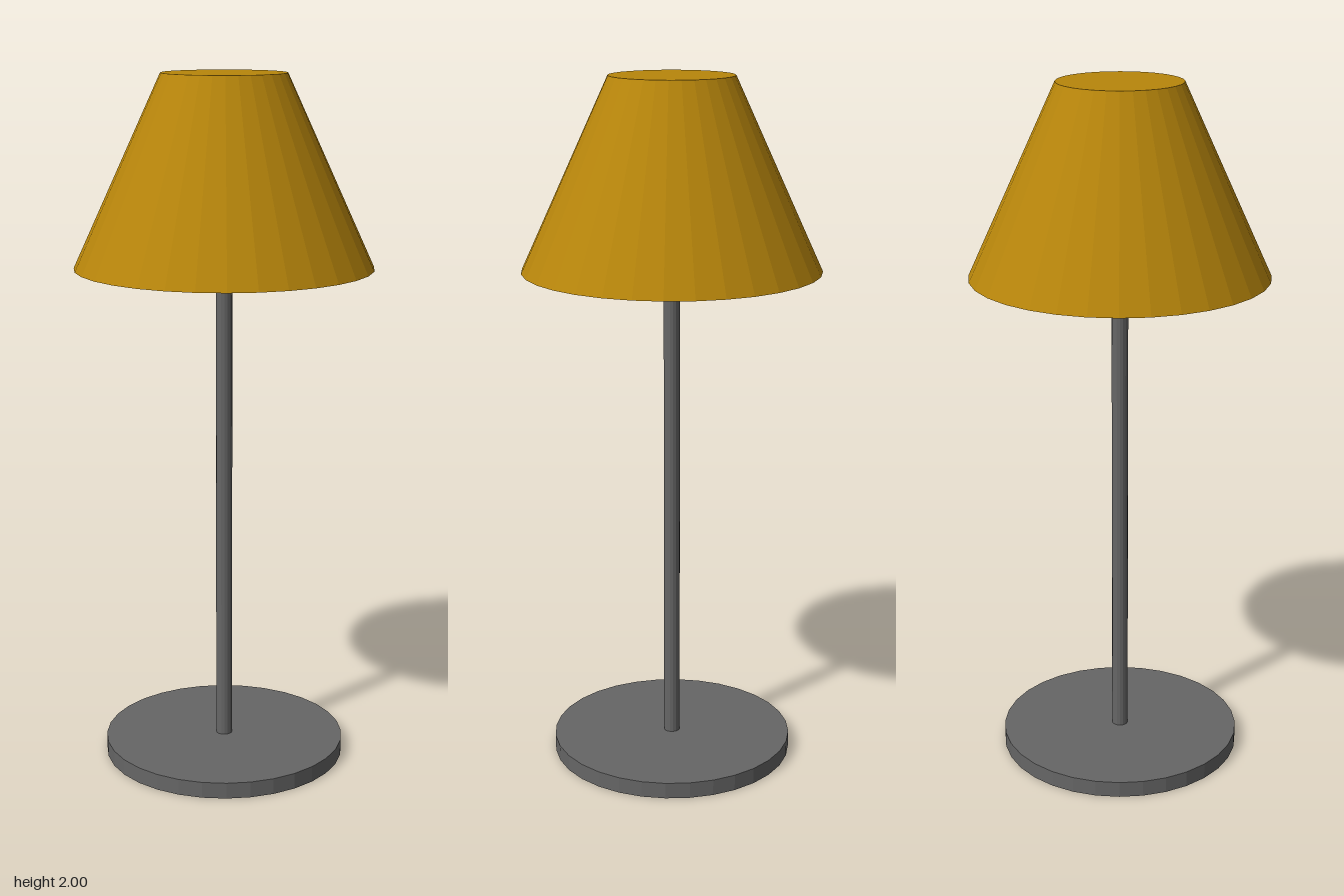
import * as THREE from 'three';

const metal = new THREE.MeshStandardMaterial({ color: 0x666666, flatShading: true });
const brass = new THREE.MeshStandardMaterial({ color: 0xb8860b, flatShading: true });

// Closed, upright round part between two heights
function roundPart(name, topRadius, bottomRadius, y0, y1, sides, material) {
  const geometry = new THREE.CylinderGeometry(topRadius, bottomRadius, y1 - y0, sides);
  const mesh = new THREE.Mesh(geometry, material);
  mesh.name = name;
  mesh.position.y = (y0 + y1) / 2;
  return mesh;
}

export function createModel() {
  const lamp = new THREE.Group();
  lamp.name = 'tableLamp';
  lamp.add(
    roundPart('base', 0.353, 0.353, 0, 0.047, 32, metal),
    roundPart('pole', 0.0235, 0.0235, 0.047, 1.46, 16, metal),
    // Tapered shade, capped at both ends
    roundPart('shade', 0.176, 0.424, 1.46, 2, 32, brass),
  );
  return lamp;
}
